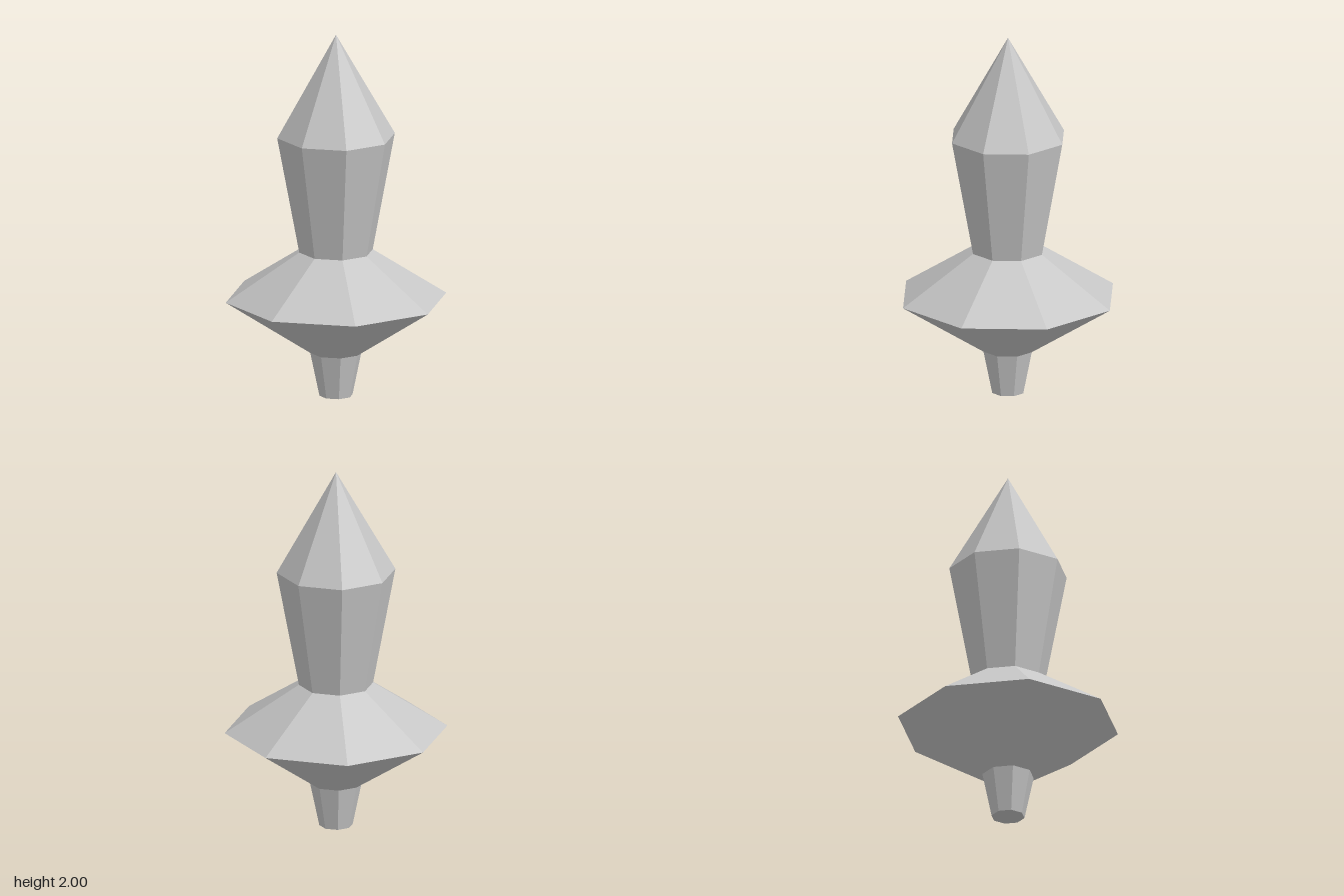
import * as THREE from 'three';

const SIDES = 8;

export function createModel() {
  const model = new THREE.Group();
  model.name = 'spinningTop';

  const grey = new THREE.MeshStandardMaterial({ color: 0xc6c6c6 });
  grey.name = 'light grey';

  // Faceted octagonal band between two heights, corners on the x and z axes
  function addBand(name, y0, r0, y1, r1) {
    const indexed = new THREE.CylinderGeometry(r1, r0, y1 - y0, SIDES, 1, true);
    const geometry = indexed.toNonIndexed();
    geometry.computeVertexNormals();
    const band = new THREE.Mesh(geometry, grey);
    band.name = name;
    band.position.y = (y0 + y1) / 2;
    model.add(band);
  }

  addBand('foot', 0, 0.09, 0.24, 0.14);
  addBand('lowerDisc', 0.24, 0.14, 0.54, 0.6);
  addBand('upperDisc', 0.54, 0.6, 0.8, 0.2);
  addBand('handle', 0.8, 0.2, 1.44, 0.32);
  addBand('tip', 1.44, 0.32, 2, 0);

  // Flat underside closing the foot
  const base = new THREE.Mesh(new THREE.CircleGeometry(0.09, SIDES), grey);
  base.name = 'footBase';
  base.rotation.x = Math.PI / 2;
  model.add(base);

  return model;
}
